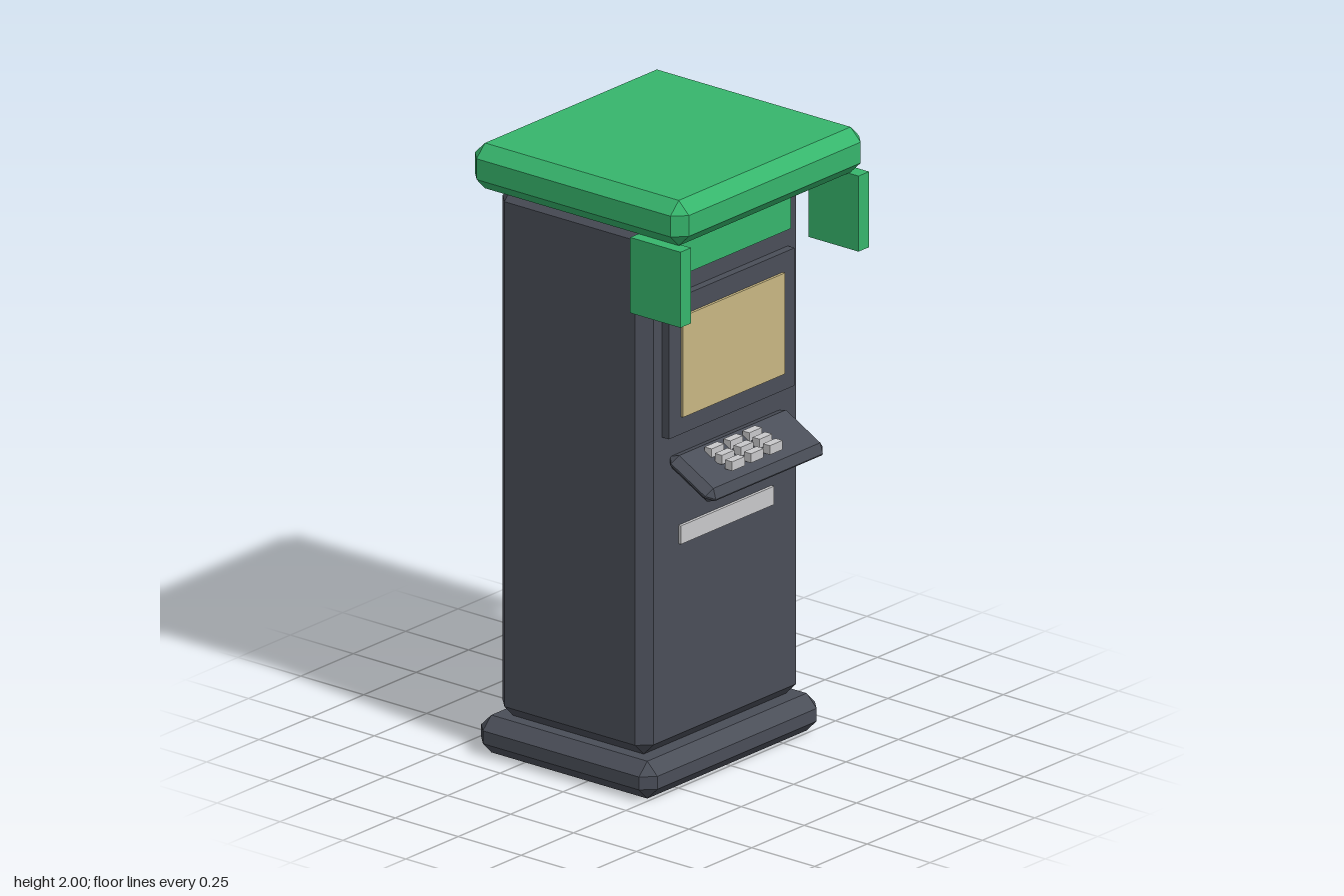
import * as THREE from 'three';
import { ConvexGeometry } from 'three/addons/geometries/ConvexGeometry.js';

const paint = (name, color) => {
  const m = new THREE.MeshStandardMaterial({ color });
  m.name = name;
  return m;
};

// Box with every edge and corner cut at 45 degrees
function chamferBox(w, h, d, c) {
  const pts = [];
  for (const x of [-1, 1]) for (const y of [-1, 1]) for (const z of [-1, 1]) {
    for (const [a, b, e] of [[0, c, c], [c, 0, c], [c, c, 0]]) {
      pts.push(new THREE.Vector3(x * (w / 2 - a), y * (h / 2 - b), z * (d / 2 - e)));
    }
  }
  return new ConvexGeometry(pts);
}

export function createModel() {
  const group = new THREE.Group();
  group.name = 'kiosk';
  const slate = paint('slate', 0x4a4e58);
  const green = paint('green', 0x36b56c);
  const sand = paint('sand', 0xc8b783);
  const silver = paint('silver', 0xc8c8ca);

  // Add a box from its extents; a chamfer is optional
  const block = (name, material, [x0, x1], [y0, y1], [z0, z1], chamfer = 0) => {
    const size = [x1 - x0, y1 - y0, z1 - z0];
    const geometry = chamfer ? chamferBox(...size, chamfer) : new THREE.BoxGeometry(...size);
    const mesh = new THREE.Mesh(geometry, material);
    mesh.name = name;
    mesh.position.set((x0 + x1) / 2, (y0 + y1) / 2, (z0 + z1) / 2);
    group.add(mesh);
    return mesh;
  };

  // Cabinet
  block('base', slate, [-0.42, 0.42], [0, 0.122], [-0.425, 0.275], 0.04);
  block('cabinet', slate, [-0.38, 0.38], [0.122, 1.852], [-0.373, 0.227], 0.04);

  // Canopy with side fins
  block('canopy', green, [-0.45, 0.45], [1.852, 2], [-0.425, 0.425], 0.04);
  block('leftFin', green, [0.4, 0.45], [1.605, 1.852], [0.225, 0.425]);
  block('rightFin', green, [-0.45, -0.4], [1.605, 1.852], [0.225, 0.425]);

  // Front panels
  block('headerPanel', green, [-0.3, 0.3], [1.665, 1.787], [0.22, 0.24]);
  block('screenFrame', slate, [-0.3, 0.3], [1.155, 1.605], [0.22, 0.254]);
  block('screen', sand, [-0.243, 0.243], [1.212, 1.542], [0.254, 0.263]);
  block('cardSlot', silver, [0.16, 0.257], [0.928, 0.942], [0.22, 0.237]);
  block('cashSlot', silver, [-0.222, 0.222], [0.785, 0.845], [0.22, 0.237]);

  // Sloping keypad shelf
  const shelf = new THREE.Mesh(chamferBox(0.56, 0.056, 0.205, 0.025), slate);
  shelf.name = 'keypadShelf';
  shelf.position.set(0, 1.028, 0.312);
  shelf.rotation.x = 0.5;
  group.add(shelf);

  // Keys, stepping up towards the cabinet
  for (let row = 0; row < 3; row++) {
    for (let col = 0; col < 3; col++) {
      const x = -0.125 + col * 0.09;
      const y = 1.041 + row * 0.011;
      const z = 0.357 - row * 0.041;
      block('key', silver, [x - 0.03, x + 0.03], [y, y + 0.03], [z, z + 0.028]);
    }
  }
  return group;
}
